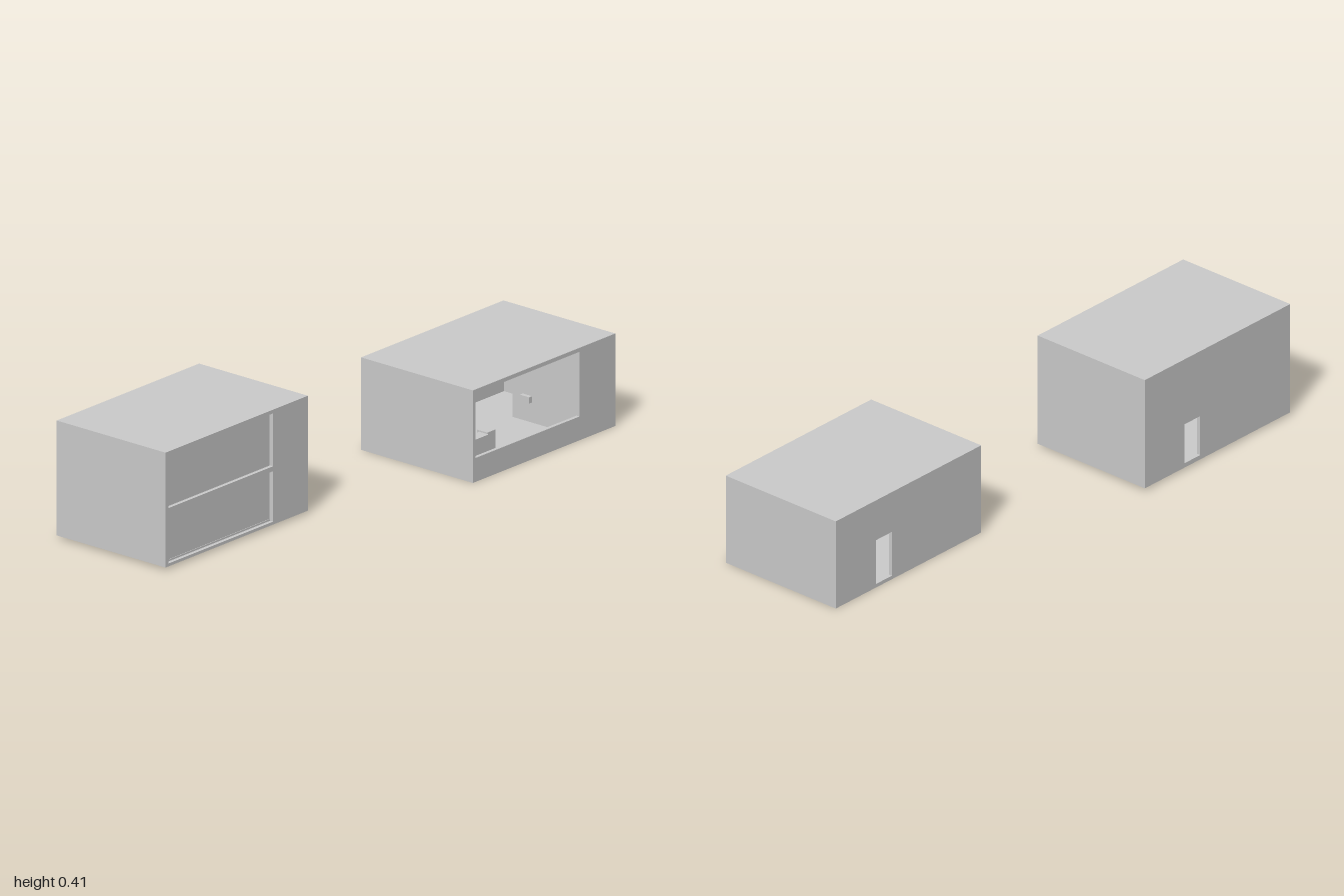
import * as THREE from 'three';

const material = new THREE.MeshStandardMaterial({ color: 0xcccccc, flatShading: true });
const T = 0.013; // wall thickness

function add(parent, name, geometry) {
  const mesh = new THREE.Mesh(geometry, material);
  mesh.name = name;
  parent.add(mesh);
  return mesh;
}

// Box given by its limits on each axis
function box(parent, name, [x0, x1], [y0, y1], [z0, z1]) {
  const mesh = add(parent, name, new THREE.BoxGeometry(x1 - x0, y1 - y0, z1 - z0));
  mesh.position.set((x0 + x1) / 2, (y0 + y1) / 2, (z0 + z1) / 2);
  return mesh;
}

function rectangle(path, [x0, x1], [y0, y1]) {
  path.moveTo(x0, y0);
  path.lineTo(x1, y0);
  path.lineTo(x1, y1);
  path.lineTo(x0, y1);
  path.closePath();
  return path;
}

// Upright wall with rectangular openings
function wall(parent, name, x, y, z, openings) {
  const shape = rectangle(new THREE.Shape(), x, y);
  for (const [ox, oy] of openings) shape.holes.push(rectangle(new THREE.Path(), ox, oy));
  const geometry = new THREE.ExtrudeGeometry(shape, { depth: T, bevelEnabled: false });
  return add(parent, name, geometry).position.setZ(z);
}

// Hollow building: pierced front and back, plain sides, roof and floor
function building(name, { x, y, z, floor, windows, door }) {
  const group = new THREE.Group();
  group.name = name;
  const inX = [x[0] + T, x[1] - T];
  const inZ = [z[0] + T, z[1] - T];
  const wallY = [y[0], y[1] - T];
  wall(group, 'frontWall', x, wallY, z[1] - T, windows);
  wall(group, 'backWall', x, wallY, z[0], [door]);
  box(group, 'rightWall', [x[0], inX[0]], wallY, inZ);
  box(group, 'leftWall', [inX[1], x[1]], wallY, inZ);
  box(group, 'roof', x, [y[1] - T, y[1]], z);
  box(group, 'floor', inX, floor, inZ);
  return group;
}

function tallBuilding() {
  const windowX = [-0.985, -0.46];
  const g = building('tallBuilding', {
    x: [-1, -0.286], y: [0.01, 0.41], z: [-0.344, 0.125], floor: [0.018, 0.026],
    windows: [[windowX, [0.02, 0.196]], [windowX, [0.213, 0.398]]],
    door: [[-0.558, -0.48], [0.026, 0.17]],
  });
  // Recessed panes behind the two long openings
  for (const y of [[0.026, 0.198], [0.211, 0.397]])
    box(g, 'windowPane', [-0.987, -0.458], y, [0.103, 0.11]);
  box(g, 'upperFloor', [-0.987, -0.299], [0.198, 0.211], [-0.331, 0.112]);
  box(g, 'partition', [-0.46, -0.45], [0.01, 0.397], [-0.17, 0.112]);
  return g;
}

function furniture() {
  const g = new THREE.Group();
  g.name = 'furniture';
  const floor = 0.013;

  // Row of desks with raised backs along the right wall
  for (let i = 0; i < 4; i++) {
    const z = 0.225 - i * 0.06;
    box(g, 'desk', [0.3, 0.36], [floor, 0.13], [z - 0.04, z]);
    box(g, 'deskTop', [0.3, 0.362], [0.145, 0.155], [z - 0.045, z + 0.004]);
    box(g, 'deskSupport', [0.3, 0.325], [0.13, 0.145], [z - 0.035, z - 0.005]);
    box(g, 'deskBack', [0.3, 0.35], [0.155, 0.173], [z - 0.045, z - 0.03]);
  }

  // Low cabinets near the window and a taller one further back
  box(g, 'cabinet', [0.3, 0.41], [floor, 0.125], [0.265, 0.305]);
  box(g, 'endCabinet', [0.41, 0.45], [floor, 0.13], [0.255, 0.3]);
  box(g, 'rearCabinet', [0.37, 0.44], [floor, 0.135], [0.01, 0.05]);

  // Round stool
  const stool = add(g, 'roundStool', new THREE.CylinderGeometry(0.038, 0.038, 0.062, 24));
  stool.position.set(0.485, floor + 0.031, -0.07);

  // Small wedge on the floor
  const profile = new THREE.Shape();
  profile.moveTo(-0.045, 0);
  profile.lineTo(0.045, 0);
  profile.lineTo(0, 0.055);
  const wedge = add(g, 'wedge', new THREE.ExtrudeGeometry(profile, { depth: 0.05, bevelEnabled: false }));
  wedge.rotation.y = Math.PI / 2;
  wedge.position.set(0.385, floor, 0.01);

  box(g, 'wallShelf', [0.448, 0.508], [0.156, 0.16], [-0.125, -0.08]);
  return g;
}

function lowBuilding() {
  const g = building('lowBuilding', {
    x: [0.286, 1], y: [0, 0.322], z: [-0.138, 0.344], floor: [0, 0.013],
    windows: [[[0.3, 0.82], [0.083, 0.308]]],
    door: [[0.725, 0.802], [0.013, 0.175]],
  });
  box(g, 'partition', [0.82, 0.833], [0.013, 0.309], [0.055, 0.331]);
  // Small fittings on the partition
  for (const y of [[0.083, 0.105], [0.272, 0.288]])
    box(g, 'partitionFitting', [0.805, 0.82], y, [0.1, 0.14]);
  g.add(furniture());
  return g;
}

export function createModel() {
  const model = new THREE.Group();
  model.name = 'buildings';
  model.add(tallBuilding(), lowBuilding());
  return model;
}
